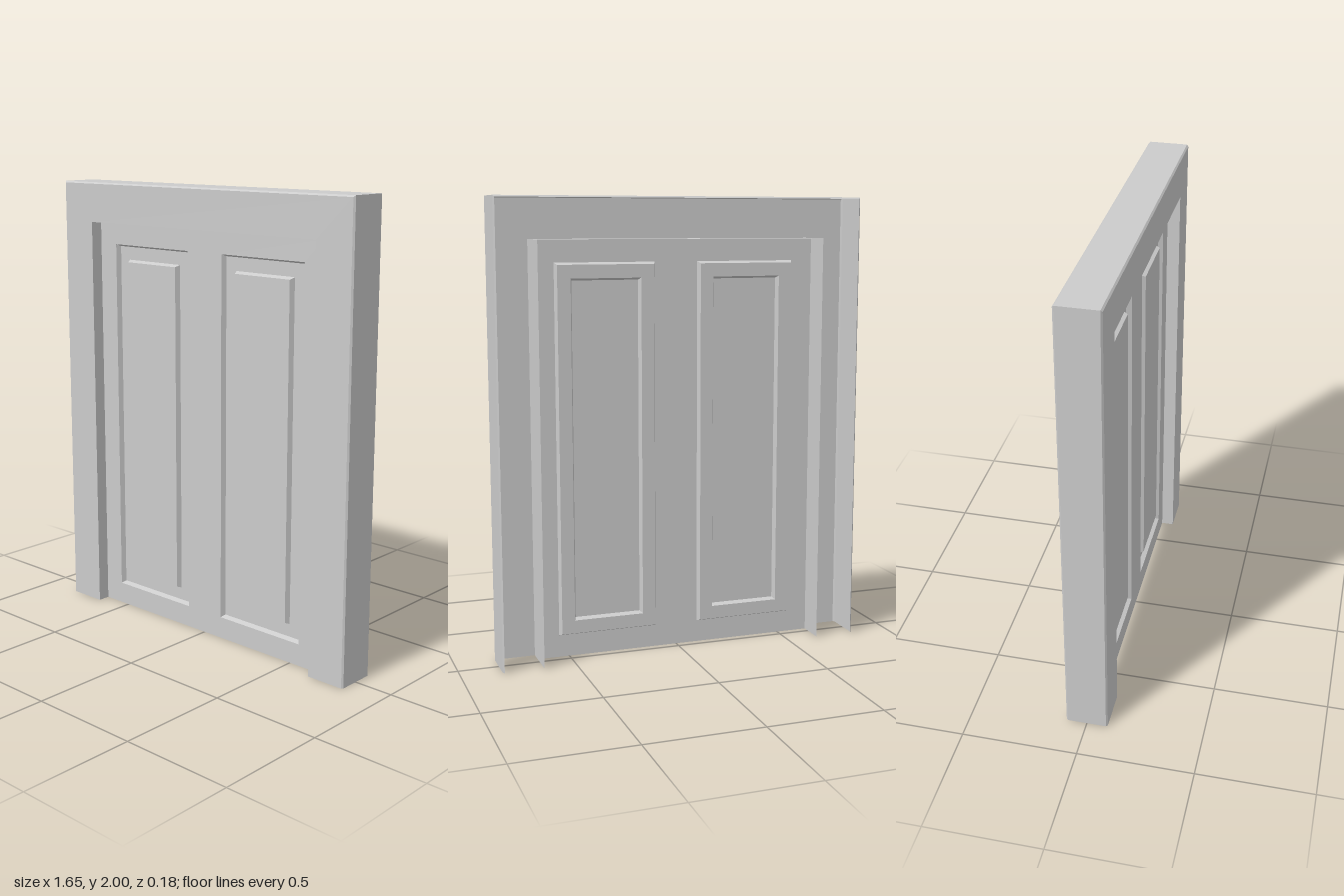
import * as THREE from 'three';

const material = new THREE.MeshStandardMaterial({ color: 0xcccccc, side: THREE.DoubleSide, flatShading: true });

// Skins a row of cross-sections (each a list of corner points) with flat quads.
function loft(sections, closed) {
  const pos = [];
  for (let s = 0; s < sections.length - 1; s++) {
    const p = sections[s], q = sections[s + 1], n = p.length;
    for (let i = 0; i < (closed ? n : n - 1); i++) {
      const j = (i + 1) % n;
      pos.push(...p[i], ...p[j], ...q[j], ...p[i], ...q[j], ...q[i]);
    }
  }
  const geo = new THREE.BufferGeometry();
  geo.setAttribute('position', new THREE.Float32BufferAttribute(pos, 3));
  geo.computeVertexNormals();
  return geo;
}

// Rectangle corners, clockwise from the lower left.
const rect = (x0, x1, y0, y1, z) => [[x0, y0, z], [x0, y1, z], [x1, y1, z], [x1, y0, z]];

function addMesh(parent, name, geometry) {
  const mesh = new THREE.Mesh(geometry, material);
  mesh.name = name;
  parent.add(mesh);
  return mesh;
}

export function createModel() {
  const group = new THREE.Group();
  group.name = 'panelledDoor';

  const W = 0.823, H = 2, Z = 0.091, bevel = 0.007;   // frame
  const w = 0.643, h = 1.822, doorZ = 0.035;          // opening and door plane

  // Frame: a thin shell, open at the back and bottom, from the reveal round to the outer walls
  const frameProfile = [
    [w, h, -Z], [w, h, Z],
    [W - bevel, H - bevel, Z], [W, H, Z - bevel],
    [W, H, -Z + bevel], [W - bevel, H - bevel, -Z],
  ];
  addMesh(group, 'doorFrame', loft(frameProfile.map(([x, y, z]) => rect(-x, x, 0, y, z)), false));

  // Door sheet with two openings for the panels
  const door = new THREE.Group();
  door.name = 'door';
  group.add(door);
  const P = { x0: 0.098, x1: 0.545, y0: 0.098, y1: 1.724 };
  const sheet = new THREE.Shape([[-w, 0], [w, 0], [w, h], [-w, h]].map(([x, y]) => new THREE.Vector2(x, y)));
  for (const s of [-1, 1]) {
    sheet.holes.push(new THREE.Path(
      rect(s * P.x0, s * P.x1, P.y0, P.y1, 0).map(([x, y]) => new THREE.Vector2(x, y))));
  }
  addMesh(door, 'doorSheet', new THREE.ShapeGeometry(sheet).translate(0, 0, doorZ));

  // Panels: sunken border with a raised field
  const depth = 0.022, slope = 0.009, border = 0.067;
  const panelProfile = [
    [border + slope, doorZ], [border, doorZ - depth],
    [slope, doorZ - depth], [0, doorZ],
  ];
  for (const [side, name] of [[-1, 'rightPanel'], [1, 'leftPanel']]) {
    const panel = new THREE.Group();
    panel.name = name;
    door.add(panel);
    const cx = side * (P.x0 + P.x1) / 2, hw = (P.x1 - P.x0) / 2;
    addMesh(panel, 'panelMoulding', loft(panelProfile.map(([d, z]) =>
      rect(cx - hw + d, cx + hw - d, P.y0 + d, P.y1 - d, z)), true));
    const inset = 2 * (border + slope);
    addMesh(panel, 'panelField', new THREE.PlaneGeometry(2 * hw - inset, P.y1 - P.y0 - inset))
      .position.set(cx, (P.y0 + P.y1) / 2, doorZ);
  }
  return group;
}
